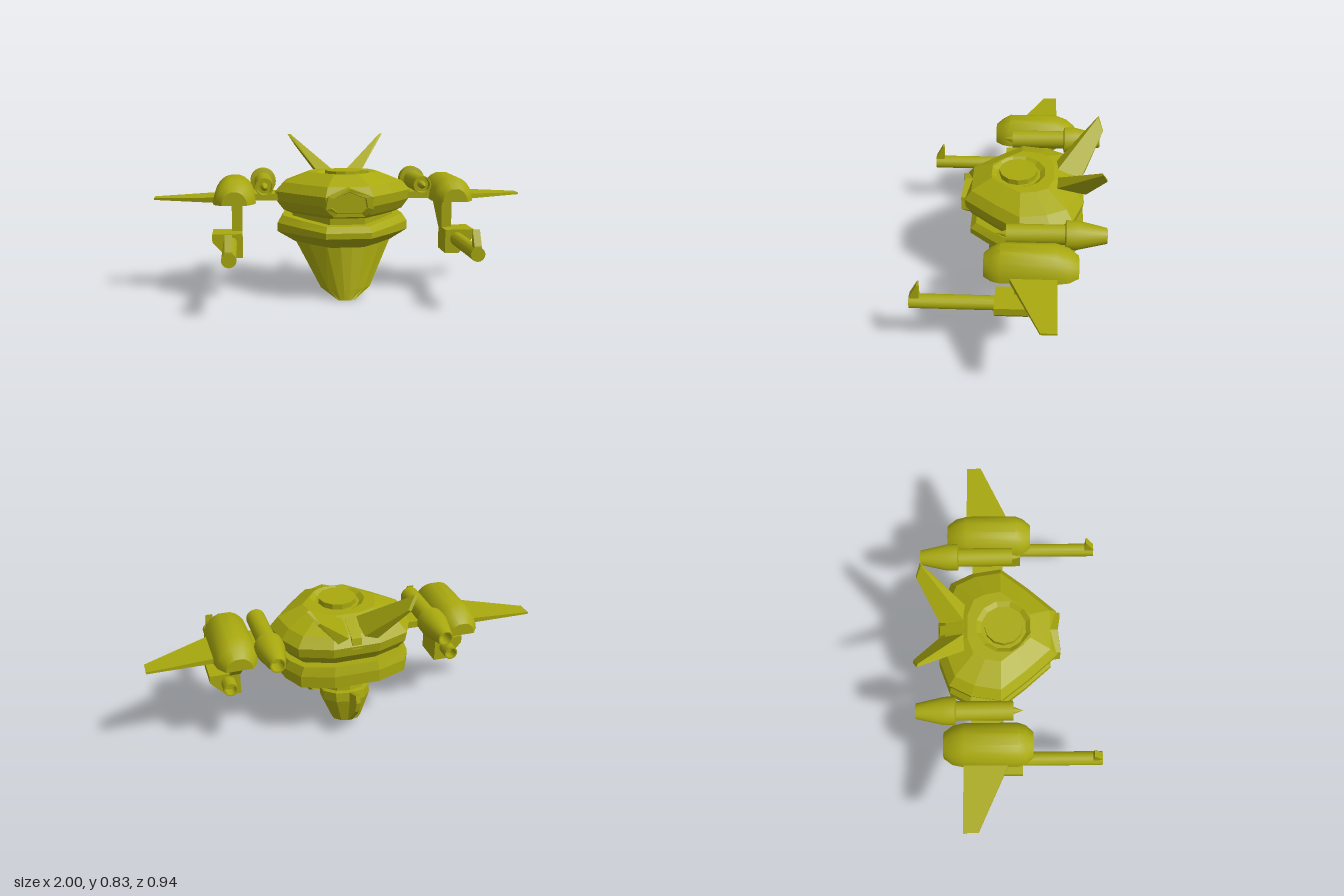
import * as THREE from 'three';
import { toCreasedNormals } from 'three/addons/utils/BufferGeometryUtils.js';
import { ConvexGeometry } from 'three/addons/geometries/ConvexGeometry.js';

const COLOR = 0xa8a80f;
const flat = new THREE.MeshStandardMaterial({ color: COLOR, flatShading: true, side: THREE.DoubleSide });
const smooth = new THREE.MeshStandardMaterial({ color: COLOR, side: THREE.DoubleSide });

function add(parent, name, geometry, material = flat) {
  const mesh = new THREE.Mesh(geometry, material);
  mesh.name = name;
  parent.add(mesh);
}

// Skin over closed sections of equal point count, with fan caps
function loft(sections) {
  const out = [];
  const tri = (...pts) => pts.forEach(p => out.push(...p));
  const n = sections[0].length;
  const middle = s => [0, 1, 2].map(k => s.reduce((sum, p) => sum + p[k], 0) / n);
  const lo = sections[0], hi = sections[sections.length - 1];
  for (let j = 0; j < n; j++) {
    const k = (j + 1) % n;
    for (let i = 0; i < sections.length - 1; i++) {
      const a = sections[i], b = sections[i + 1];
      tri(a[j], a[k], b[k]);
      tri(a[j], b[k], b[j]);
    }
    tri(middle(lo), lo[k], lo[j]);
    tri(middle(hi), hi[j], hi[k]);
  }
  const g = new THREE.BufferGeometry();
  g.setAttribute('position', new THREE.Float32BufferAttribute(out, 3));
  g.computeVertexNormals();
  return g;
}

const hull = pts => new ConvexGeometry(pts.map(p => new THREE.Vector3(...p)));
const vec2 = pts => pts.map(p => new THREE.Vector2(...p));
const lathe = (pts, sides) => new THREE.LatheGeometry(vec2(pts), sides);

// Round part along z from [radius, z] points
const turnedZ = (pts, sides = 20) => toCreasedNormals(lathe(pts, sides).rotateX(Math.PI / 2), 0.6);

// Plate with a [z, y] outline, centred on x
function plate(pts, x, width) {
  return new THREE.ExtrudeGeometry(new THREE.Shape(vec2(pts)), { depth: width, bevelEnabled: false })
    .rotateY(-Math.PI / 2).translate(x + width / 2, 0, 0);
}

// Twelve-sided hull outline, seen from above
const half = [[0.12, 0.235], [0.25, 0.09], [0.36, -0.05], [0.335, -0.2], [0.28, -0.31], [0.12, -0.37]];
const outline = [...half, ...half.map(([x, z]) => [-x, z]).reverse()];
const MID = -0.05;
function hullRing(y, s, slope = 0, shift = 0) {
  return outline.map(([x, z]) => {
    const zz = MID + (z - MID) * s + shift;
    return [x * s, y - slope * zz, zz];
  });
}
function circleRing(y, r) {
  return outline.map((_, j) => {
    const a = (j + 0.5) * Math.PI / 6;
    return [r * Math.sin(a), y, -0.035 + r * Math.cos(a)];
  });
}

// One section of the curved keel: a thin arc, bowed to the front
function keelSection(y, w, front, side, t) {
  const arc = (ww, f, s) => [-1, -0.75, -0.4, -0.12, 0.12, 0.4, 0.75, 1]
    .map(u => [ww * u, y, f - (f - s) * u * u]);
  return [...arc(w, front, side), ...arc(w - t, front - t, side - t * 0.3).reverse()];
}

// Nose window: seven-sided frame around a sunken pane
function noseGeometry() {
  const rim = [[-0.08, 0.455, 0.235], [0.08, 0.455, 0.235], [0.12, 0.495, 0.253], [0.108, 0.56, 0.253],
    [0, 0.6, 0.24], [-0.108, 0.56, 0.253], [-0.12, 0.495, 0.253]];
  const ring = (s, depth) => rim.map(([x, y, z]) => [x * s, 0.525 + (y - 0.525) * s, depth(z)]);
  return loft([ring(1.12, () => 0.15), ring(1, z => z), ring(0.76, z => z), ring(0.72, () => 0.237)]);
}

function addBody(root) {
  add(root, 'upperHull', loft([
    hullRing(0.437, 0.75), hullRing(0.457, 0.88), hullRing(0.505, 0.98), hullRing(0.555, 1),
    hullRing(0.603, 0.88), hullRing(0.655, 0.52), circleRing(0.655, 0.14), circleRing(0.637, 0.115),
  ]));
  add(root, 'topHatch', new THREE.CylinderGeometry(0.097, 0.097, 0.045, 12).translate(0, 0.6425, -0.035));
  add(root, 'hullNeck', loft([hullRing(0.38, 0.75, 0, -0.02), hullRing(0.47, 0.75, 0, -0.02)]));
  add(root, 'lowerHull', loft([
    hullRing(0.28, 0.7, 0, -0.015), hullRing(0.338, 0.97, 0, -0.015),
    hullRing(0.38, 0.97, 0.06, -0.015), hullRing(0.415, 0.9, 0.1, -0.025),
  ]));
  add(root, 'noseWindow', noseGeometry());

  // Rear spine between the tail fins
  add(root, 'rearSpine', plate([[-0.2, 0.65], [-0.24, 0.645], [-0.36, 0.595], [-0.37, 0.54], [-0.2, 0.6]], 0, 0.05));

  add(root, 'keel', loft([
    keelSection(0, 0.045, 0.14, 0.13, 0.008),
    keelSection(0.055, 0.13, 0.135, 0.06, 0.018),
    keelSection(0.3, 0.26, 0.11, -0.06, 0.022),
  ]));
}

function addThruster(root) {
  const thruster = new THREE.Group();
  thruster.name = 'bellyThruster';
  thruster.position.set(0, 0.037, -0.2);
  thruster.rotation.x = 0.22;
  add(thruster, 'thrusterPod', lathe(
    [[0, 0.05], [0.055, 0.05], [0.06, 0], [0.076, 0], [0.128, 0.125], [0.13, 0.172], [0.105, 0.18], [0, 0.18]], 10));
  add(thruster, 'thrusterNeck', new THREE.CylinderGeometry(0.11, 0.108, 0.13, 10).translate(0, 0.225, 0));
  root.add(thruster);
  add(root, 'thrusterFin', plate([[-0.26, 0.23], [-0.285, 0.235], [-0.39, 0.28], [-0.4, 0.24], [-0.385, 0.18], [-0.275, 0.055], [-0.25, 0.08]], 0, 0.022));
}

function addSide(root, s) {
  const side = new THREE.Group();
  side.name = s > 0 ? 'leftSide' : 'rightSide';
  root.add(side);
  const mirrored = pts => hull(pts.map(([x, y, z]) => [s * x, y, z]));

  // Swept tail fin
  add(side, 'tailFin', mirrored([
    [0.03, 0.64, -0.23], [0.115, 0.63, -0.22], [0.1, 0.59, -0.38], [0.04, 0.6, -0.36],
    [0.255, 0.83, -0.44], [0.272, 0.83, -0.445], [0.23, 0.765, -0.47], [0.215, 0.77, -0.468],
  ]));

  // Half-round nacelle with tapered ends and a flattened top
  const arch = (z, w, h) => Array.from({ length: 13 }, (_, i) => {
    const a = i * Math.PI / 12;
    return [s * 0.573 + w * Math.cos(a), 0.503 + h * Math.min(1, 1.04 * Math.sin(a)), z];
  });
  add(side, 'nacelle', toCreasedNormals(loft([
    arch(-0.335, 0.065, 0.062), arch(-0.29, 0.098, 0.098), arch(-0.23, 0.11, 0.122),
    arch(0.03, 0.11, 0.122), arch(0.07, 0.098, 0.098), arch(0.108, 0.065, 0.068),
  ]), 0.6), smooth);

  // Jet engine with flared nozzle and intake spike
  add(side, 'jetEngine', turnedZ([
    [0, -0.4], [0.03, -0.4], [0.031, -0.47], [0.038, -0.47], [0.07, -0.33], [0.07, -0.275], [0.048, -0.27],
    [0.048, 0.01], [0.04, 0.01], [0.038, -0.03], [0.02, -0.03], [0.018, 0.01], [0, 0.06],
  ]).translate(s * 0.418, 0.583, 0), smooth);
  add(side, 'engineMount', new THREE.BoxGeometry(0.2, 0.035, 0.16).translate(s * 0.41, 0.525, -0.12));

  // Tapered wing
  add(side, 'wing', mirrored([
    [0.62, 0.503, 0.01], [0.62, 0.533, 0.01], [0.62, 0.503, -0.235], [0.62, 0.533, -0.235],
    [1, 0.503, -0.16], [1, 0.513, -0.16], [1, 0.503, -0.235], [1, 0.513, -0.235],
  ]));

  // Gun slung under the nacelle
  add(side, 'gunPylon', plate([[-0.035, 0.51], [-0.255, 0.51], [-0.255, 0.465], [-0.11, 0.34], [-0.035, 0.34]], s * 0.562, 0.054));
  const block = [[0.535, 0.222], [0.61, 0.222], [0.69, 0.308], [0.69, 0.348], [0.535, 0.348]];
  add(side, 'gunBlock', mirrored([0.058, -0.105].flatMap(z => block.map(([x, y]) => [x, y, z]))));
  add(side, 'gunBarrel', turnedZ([
    [0, -0.13], [0.028, -0.13], [0.028, -0.18], [0.036, -0.18], [0.036, 0.47], [0, 0.47],
  ]).translate(s * 0.598, 0.298, 0), smooth);
  add(side, 'gunSight', plate([[0.47, 0.32], [0.468, 0.338], [0.427, 0.412], [0.421, 0.412], [0.421, 0.32]], s * 0.598, 0.036));
}

export function createModel() {
  const root = new THREE.Group();
  root.name = 'hoverCraft';
  addBody(root);
  addThruster(root);
  addSide(root, 1);
  addSide(root, -1);
  return root;
}
